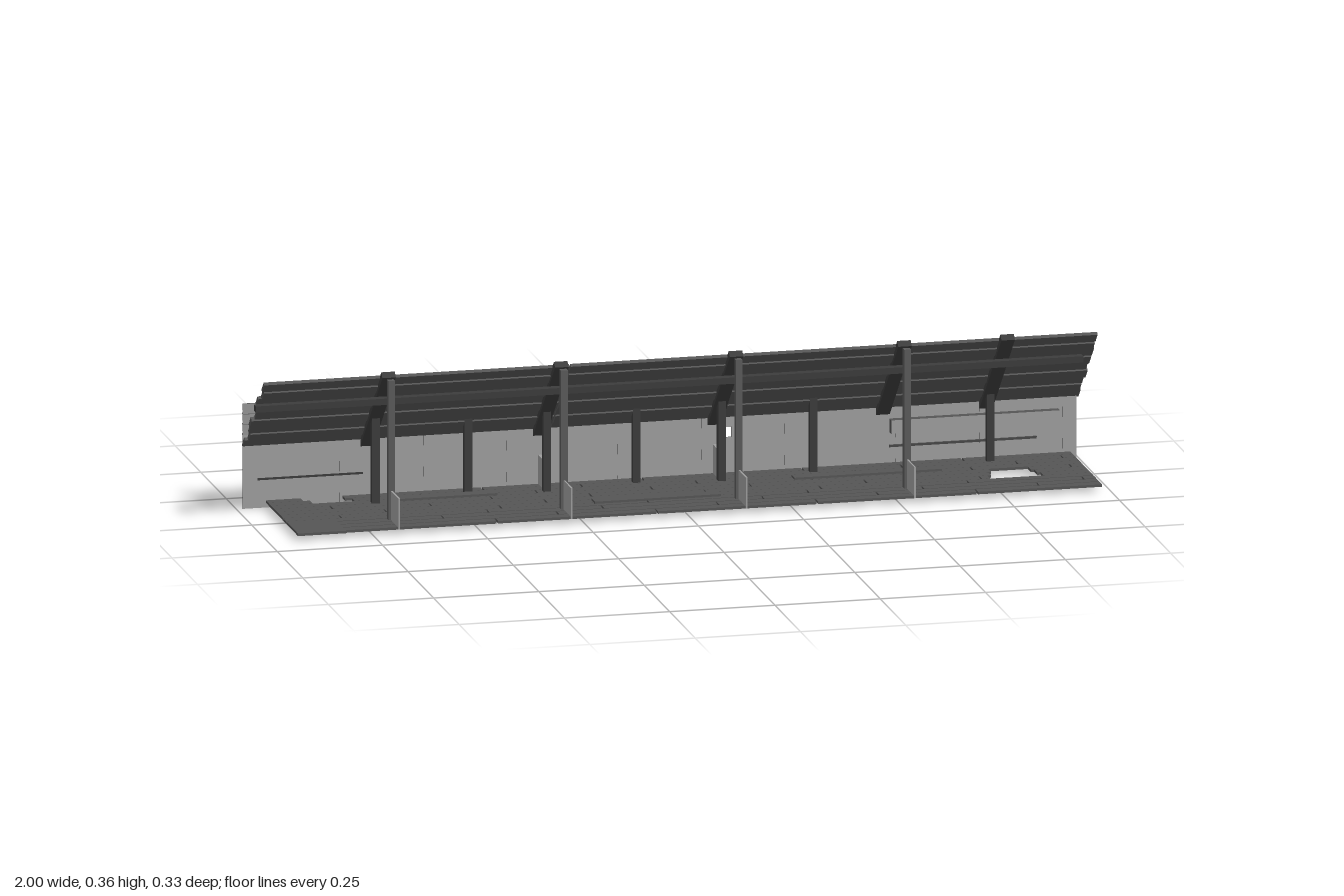
import * as THREE from 'three';

const paint = (color) => new THREE.MeshStandardMaterial({ color, flatShading: true });
const boards = paint(0x555555);
const timber = paint(0x5a5a5a);
const darkTimber = paint(0x3c3c3c);
const pale = paint(0x9e9e9e);
// Dark boards with a pale face towards the inside (+z)
const paleInside = [boards, boards, boards, boards, pale, boards];

// Box given by its limits on each axis
function box(parent, name, material, [x0, x1], [y0, y1], [z0, z1]) {
  const mesh = new THREE.Mesh(new THREE.BoxGeometry(x1 - x0, y1 - y0, z1 - z0), material);
  mesh.position.set((x0 + x1) / 2, (y0 + y1) / 2, (z0 + z1) / 2);
  mesh.name = name;
  parent.add(mesh);
  return mesh;
}

// Splits a row of boards at staggered joints and leaves out the given gaps
function boardRow(start, end, row, length, gaps, joint) {
  const pieces = [];
  let x = start;
  let next = start + length * (0.35 + 0.3 * ((row * 2) % 3));
  while (x < end - 0.01) {
    const stop = Math.min(next, end);
    let parts = [[x, stop - (stop < end ? joint : 0)]];
    for (const [g0, g1] of gaps) {
      parts = parts.flatMap(([a, b]) =>
        g1 <= a || g0 >= b ? [[a, b]] : [[a, g0], [g1, b]].filter(([p, q]) => q - p > 0.004));
    }
    pieces.push(...parts);
    x = stop;
    next += length;
  }
  return pieces;
}

function createFloor() {
  const floor = new THREE.Group();
  floor.name = 'floor';
  const rows = 11, z0 = -0.153, pitch = 0.318 / rows;
  for (let i = 0; i < rows; i++) {
    const z = z0 + i * pitch;
    const gaps = [];
    const wobble = 0.008 * ((i * 2) % 3 - 1);
    const front = i >= rows - 4;
    // Broken openings near both ends
    if (i >= 4 && i <= 6) gaps.push([0.75 + wobble, 0.86 - wobble]);
    if (i <= 1) gaps.push([-0.84 + wobble, -0.74 + wobble]);
    for (const [a, b] of boardRow(front ? -0.815 : -0.93, 0.98, i, 0.38, gaps, 0.004)) {
      box(floor, 'floorBoard', boards, [a, b], [0.011, 0.017], [z, z + pitch - (front ? 0.004 : 0.001)]);
    }
  }
  // Closed end piece at the front corner
  box(floor, 'floorEnd', boards, [-0.93, -0.815], [0.011, 0.017], [z0 + 7 * pitch, 0.165]);
  // Bearer below and loose boards on top
  box(floor, 'floorBearer', darkTimber, [-0.35, 0.45], [0.006, 0.011], [-0.043, -0.01]);
  box(floor, 'looseBoard', boards, [-0.2, 0.1], [0.017, 0.022], [0.028, 0.06]);
  box(floor, 'looseBoard', boards, [0.3, 0.65], [0.017, 0.022], [-0.075, -0.045]);
  box(floor, 'looseBoard', boards, [-0.65, -0.4], [0.017, 0.022], [-0.1, -0.07]);
  return floor;
}

function createBackWall() {
  const wall = new THREE.Group();
  wall.name = 'backWall';
  const rows = 10, pitch = 0.025;
  const gaps = { 4: [[0.15, 0.175]], 6: [[-0.72, -0.34]] };
  for (let i = 0; i < rows; i++) {
    for (const [a, b] of boardRow(-0.985, 0.995, i, 0.66, gaps[i] || [], 0.001)) {
      const y = i * pitch;
      const board = box(wall, 'wallBoard', paleInside, [a, b], [y, y + pitch + 0.0005], [-0.154, -0.15]);
      board.rotation.x = i > 6 ? 0.14 : 0;
    }
  }
  // Boards hanging askew and splits in the lining
  const slack = box(wall, 'looseWallBoard', boards, [0.55, 0.9], [0.04, 0.06], [-0.154, -0.151]);
  slack.rotation.x = 0.3;
  box(wall, 'wallSplit', darkTimber, [-0.95, -0.7], [0.066, 0.071], [-0.151, -0.149]);
  box(wall, 'wallRail', paleInside, [0.55, 0.95], [0.09, 0.122], [-0.149, -0.13]);
  return wall;
}

function createRoof(rafterXs) {
  // Local z runs up the slope and local y points out of the roof
  const roof = new THREE.Group();
  roof.name = 'roof';
  roof.position.set(0, 0.132, -0.15);
  roof.rotation.x = -Math.PI / 4;
  const rows = 9, pitch = 0.278 / rows;
  for (let i = 0; i < rows; i++) {
    const z = 0.008 + i * pitch;
    const ragged = 0.004 * ((i * 2) % 3);
    // Two lengths meet at one seam; every other board sits slightly lower
    for (const [a, b] of [[-0.985 + ragged, -0.256], [-0.253, 1 - ragged / 2]]) {
      const drop = 0.004 * (i % 2);
      box(roof, 'roofBoard', boards, [a, b], [0.012 - drop, 0.02], [z, z + pitch]);
    }
  }
  for (const x of rafterXs) {
    box(roof, 'rafter', darkTimber, [x - 0.016, x + 0.016], [0, 0.016], [0, 0.307]);
  }
  return roof;
}

export function createModel() {
  const model = new THREE.Group();
  model.name = 'woodenShelter';
  const frontXs = [-0.69, -0.28, 0.135, 0.535];

  model.add(createFloor(), createBackWall(), createRoof([...frontXs, 0.78]));

  // Front posts, each with a thin low side panel reaching the floor edge
  for (const x of frontXs) {
    box(model, 'frontPost', timber, [x - 0.008, x + 0.008], [0.012, 0.348], [0.077, 0.093]);
    box(model, 'sidePanel', pale, [x - 0.002, x + 0.002], [0.012, 0.086], [0.093, 0.165]);
  }

  // Inner posts that pass through the roof
  const innerPosts = [
    [-0.69, -0.07], [-0.28, -0.083], [0.135, -0.083],
    [-0.46, -0.113], [-0.06, -0.113], [0.36, -0.113], [0.78, -0.113],
  ];
  for (const [x, z] of innerPosts) {
    box(model, 'innerPost', darkTimber, [x - 0.009, x + 0.009], [0.012, 0.252], [z - 0.008, z + 0.008]);
  }

  // Low panels between the middle posts and the back wall
  for (const x of [-0.28, 0.135]) {
    box(model, 'rearPanel', pale, [x - 0.004, x + 0.004], [0.012, 0.086], [-0.162, -0.09]);
  }

  // Long beam under the roof
  box(model, 'longBeam', darkTimber, [-1, 0.965], [0.278, 0.293], [0.02, 0.041]);
  return model;
}
